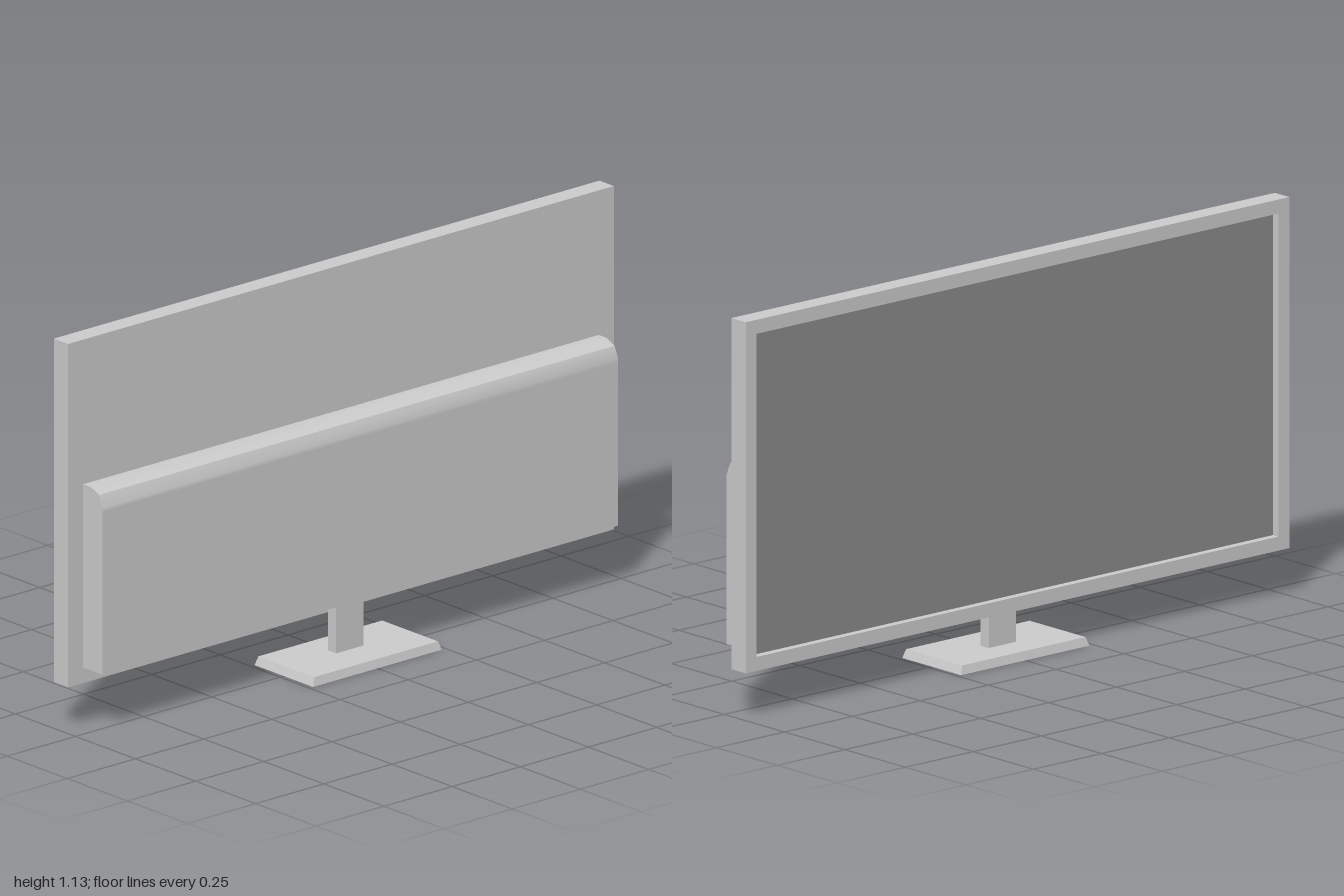
import * as THREE from 'three';
import { toCreasedNormals } from 'three/addons/utils/BufferGeometryUtils.js';

const grey = new THREE.MeshStandardMaterial({ color: 0xcccccc });
const dark = new THREE.MeshStandardMaterial({ color: 0x8a8a8a });

function add(group, name, geometry, material = grey) {
  const mesh = new THREE.Mesh(geometry, material);
  mesh.name = name;
  group.add(mesh);
  return mesh;
}

// Box given by its minimum and maximum corners
function boxBetween(x0, x1, y0, y1, z0, z1) {
  return new THREE.BoxGeometry(x1 - x0, y1 - y0, z1 - z0)
    .translate((x0 + x1) / 2, (y0 + y1) / 2, (z0 + z1) / 2);
}

function rectangle(Type, w, h) {
  return new Type([[-w, -h], [w, -h], [w, h], [-w, h]].map(([x, y]) => new THREE.Vector2(x, y)));
}

export function createModel() {
  const group = new THREE.Group();
  group.name = 'television';

  const front = -0.09, back = -0.03, screenX = -0.067;
  const midY = 0.635, bezel = 0.04;

  // Bezel: rectangular ring, extruded then turned so its depth runs along x
  const ring = rectangle(THREE.Shape, 1, 0.5);
  ring.holes.push(rectangle(THREE.Path, 1 - bezel, 0.5 - bezel));
  const ringGeometry = new THREE.ExtrudeGeometry(ring, { depth: screenX - front, bevelEnabled: false });
  ringGeometry.rotateY(Math.PI / 2).translate(front, midY, 0);
  add(group, 'bezel', ringGeometry);

  // Cabinet behind the bezel, and the recessed screen facing -x
  add(group, 'cabinet', boxBetween(screenX, back, midY - 0.5, midY + 0.5, -1, 1));
  const screen = new THREE.PlaneGeometry(2 * (1 - bezel), 1 - 2 * bezel);
  screen.rotateY(-Math.PI / 2).translate(screenX - 0.001, midY, 0);
  add(group, 'screen', screen, dark);

  // Rear housing with a softened upper edge
  const profile = [
    [back, 0.18], [0.051, 0.18], [0.051, 0.655], [0.051, 0.665],
    [0.036, 0.70], [0.003, 0.714], [-0.005, 0.714], [back, 0.714],
  ];
  const housingShape = new THREE.Shape(profile.map(([x, y]) => new THREE.Vector2(x, y)));
  const housing = new THREE.ExtrudeGeometry(housingShape, { depth: 1.89, bevelEnabled: false });
  housing.translate(0, 0, -0.945);
  add(group, 'rearHousing', toCreasedNormals(housing, 0.5));

  // Stand neck
  add(group, 'neck', boxBetween(-0.027, 0.007, 0.02, 0.185, -0.05, 0.05));

  // Stand base: a slab whose top is slightly smaller than its bottom
  let base = boxBetween(-0.122, 0.122, 0, 0.025, -0.236, 0.236);
  const p = base.attributes.position;
  for (let i = 0; i < p.count; i++) {
    if (p.getY(i) > 0.01) {
      p.setX(i, Math.sign(p.getX(i)) * 0.116);
      p.setZ(i, Math.sign(p.getZ(i)) * 0.227);
    }
  }
  base = base.toNonIndexed();
  base.computeVertexNormals();
  add(group, 'base', base);

  return group;
}
